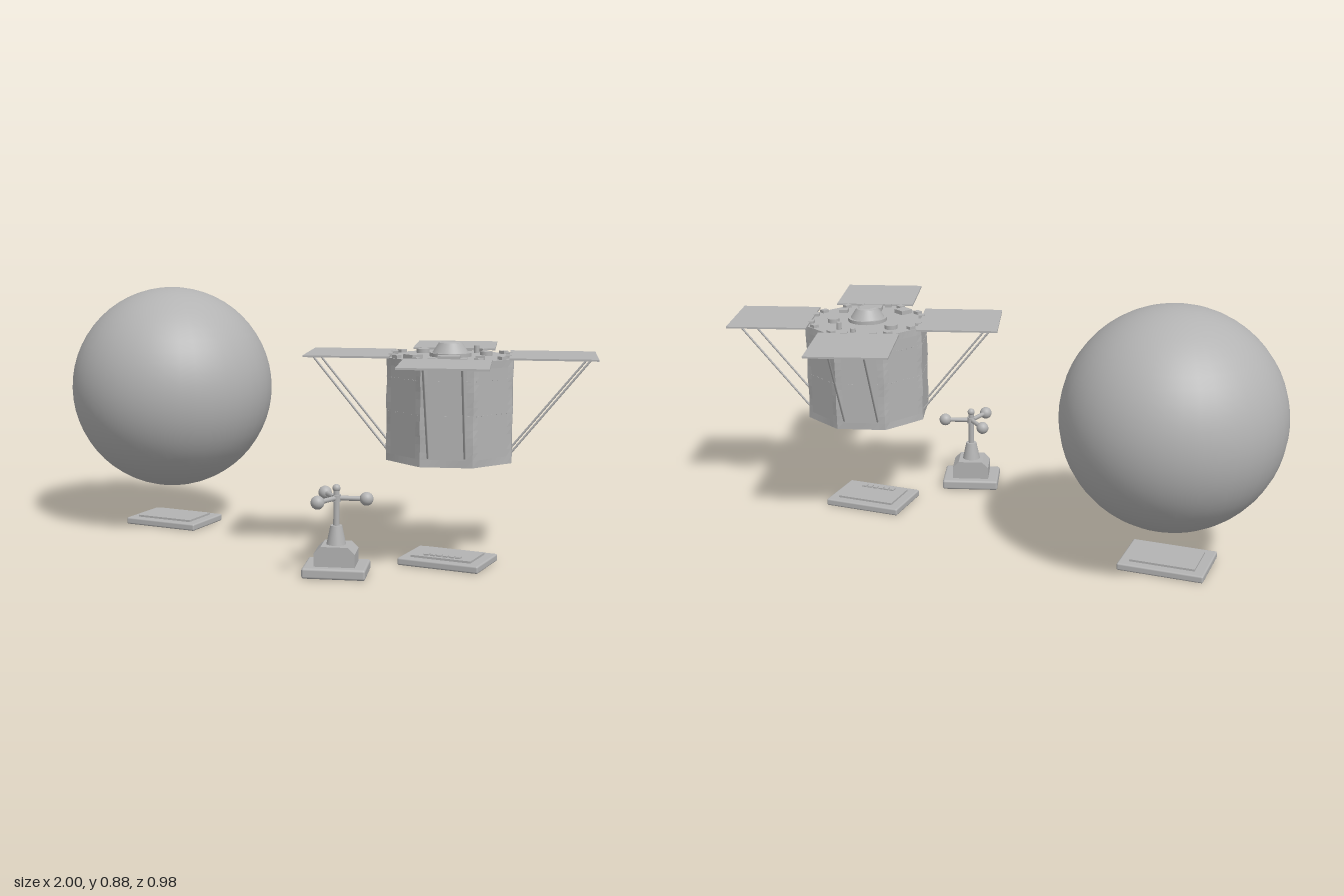
import * as THREE from 'three';
import { RoundedBoxGeometry } from 'three/addons/geometries/RoundedBoxGeometry.js';

const TURN = 0.302; // shared heading of the satellite and the wind gauge

export function createModel() {
  const root = new THREE.Group();
  root.name = 'spaceScene';
  const grey = new THREE.MeshStandardMaterial({ color: 0xb3b3b3 });
  grey.name = 'plainGrey';

  const add = (parent, name, geo, x = 0, y = 0, z = 0, ry = 0) => {
    const mesh = new THREE.Mesh(geo, grey);
    mesh.name = name;
    mesh.position.set(x, y, z);
    mesh.rotation.y = ry;
    parent.add(mesh);
    return mesh;
  };
  const group = (name, x, z, ry = 0) => {
    const g = new THREE.Group();
    g.name = name;
    g.position.set(x, 0, z);
    g.rotation.y = ry;
    root.add(g);
    return g;
  };
  const box = (w, h, d) => new THREE.BoxGeometry(w, h, d);
  const cyl = (rt, rb, h, n = 24) => new THREE.CylinderGeometry(rt, rb, h, n);
  const ball = (r) => new THREE.SphereGeometry(r, 20, 14);
  // round rod between two points
  const rod = (parent, name, a, b, r) => {
    const from = new THREE.Vector3(...a), to = new THREE.Vector3(...b);
    const dir = to.clone().sub(from);
    const mesh = add(parent, name, cyl(r, r, dir.length(), 10));
    mesh.position.copy(from).addScaledVector(dir, 0.5);
    mesh.quaternion.setFromUnitVectors(new THREE.Vector3(0, 1, 0), dir.normalize());
  };

  // large globe
  add(root, 'globe', new THREE.SphereGeometry(0.367, 40, 28), -0.635, 0.515, -0.13);

  // display plates: rounded base with a raised inset
  const plate = (name, x, z, w, d) => {
    const g = group(name, x, z);
    add(g, 'plateBase', new RoundedBoxGeometry(w, 0.025, d, 2, 0.006), 0, 0.0125, 0);
    add(g, 'plateInset', box(w - 0.07, 0.01, d - 0.06), 0, 0.027, 0);
    return g;
  };
  plate('globePlate', -0.635, -0.13, 0.29, 0.21);
  const satPlate = plate('satellitePlate', 0.51, 0.01, 0.28, 0.2);
  for (let i = 0; i < 6; i++) {
    add(satPlate, 'plateBar', box(0.016, 0.006, 0.02), -0.055 + i * 0.022, 0.034, 0.046);
  }

  // ---- satellite ----
  const sat = group('satellite', 0.508, 0, TURN);
  const R = 0.218, BOTTOM = 0.355, TOP = 0.69;
  const APOTHEM = R * Math.cos(Math.PI / 8);

  // octagonal foil-wrapped body, slightly creased along its corners and rims
  const N = 64, ROWS = 14;
  const pos = [], idx = [];
  for (let j = 0; j <= ROWS; j++) {
    for (let i = 0; i < N; i++) {
      const a = (i / N) * Math.PI * 2;
      const off = a - Math.round(a / (Math.PI / 4)) * (Math.PI / 4);
      const nearEdge = Math.abs(off) > 0.36 || j < 1 || j === ROWS;
      const crease = nearEdge ? 0.0015 * Math.sin(i * 12.9 + j * 7.3) : 0;
      const r = APOTHEM / Math.cos(off) + crease;
      pos.push(r * Math.cos(a), BOTTOM + (j / ROWS) * (TOP - BOTTOM), -r * Math.sin(a));
    }
  }
  for (let j = 0; j < ROWS; j++) {
    for (let i = 0; i < N; i++) {
      const a = j * N + i, b = j * N + ((i + 1) % N);
      idx.push(a, b, b + N, a, b + N, a + N);
    }
  }
  // end caps
  pos.push(0, BOTTOM, 0, 0, TOP, 0);
  const low = (ROWS + 1) * N, high = low + 1;
  for (let i = 0; i < N; i++) {
    const k = (i + 1) % N;
    idx.push(low, k, i, high, ROWS * N + i, ROWS * N + k);
  }
  let bodyGeo = new THREE.BufferGeometry();
  bodyGeo.setAttribute('position', new THREE.Float32BufferAttribute(pos, 3));
  bodyGeo.setIndex(idx);
  bodyGeo = bodyGeo.toNonIndexed();
  bodyGeo.computeVertexNormals();
  add(sat, 'foilBody', bodyGeo);

  // stitched seams on every face and rim clips on the deck
  for (let f = 0; f < 8; f++) {
    const face = new THREE.Group();
    face.name = 'bodyFace';
    face.rotation.y = (f * Math.PI) / 4;
    sat.add(face);
    for (const y of [0.518, 0.628]) {
      for (let k = -3; k <= 3; k++) {
        add(face, 'seamStitch', box(0.002, 0.003, 0.012), APOTHEM, y, k * 0.022);
      }
    }
    for (const s of [-1, 1]) add(face, 'rimClip', box(0.02, 0.012, 0.024), APOTHEM - 0.014, 0.694, s * 0.05);
  }

  // four solar panels, each held by two braces
  for (let k = 0; k < 4; k++) {
    const wing = new THREE.Group();
    wing.name = 'solarWing';
    wing.rotation.y = (k * Math.PI) / 2;
    sat.add(wing);
    add(wing, 'solarPanel', box(0.277, 0.006, 0.277), 0.329, 0.695, 0);
    for (const s of [-1, 1]) {
      rod(wing, 'panelBrace', [0.45, 0.693, s * 0.058], [0.2, 0.385, s * 0.058], 0.0035);
    }
  }

  // deck equipment
  const deck = group('deckEquipment', 0.508, 0);
  add(deck, 'antennaBase', cyl(0.068, 0.068, 0.012, 32), 0, 0.696, 0.005);
  add(deck, 'antennaCone', cyl(0.038, 0.06, 0.034, 32), 0, 0.717, 0.005);
  add(deck, 'antennaCap', cyl(0.026, 0.036, 0.004, 24), 0, 0.735, 0.005);
  add(deck, 'sensorDisc', cyl(0.022, 0.022, 0.014), -0.122, 0.697, -0.062);
  add(deck, 'sensorDisc', cyl(0.02, 0.02, 0.014), 0.1, 0.697, -0.06);
  add(deck, 'shortMast', cyl(0.009, 0.009, 0.028, 16), 0.04, 0.701, -0.135);
  add(deck, 'shortMast', cyl(0.01, 0.01, 0.016, 16), -0.02, 0.696, -0.15);
  add(deck, 'equipmentBox', box(0.07, 0.014, 0.045), 0.042, 0.697, 0.132, TURN);
  add(deck, 'equipmentBox', box(0.045, 0.014, 0.045), -0.078, 0.697, 0.135, TURN + 0.8);
  add(deck, 'equipmentBox', box(0.03, 0.012, 0.03), 0.125, 0.696, 0.07, TURN);

  // ---- wind gauge ----
  const gauge = group('windGauge', 0.24, 0.305, TURN);
  add(gauge, 'gaugeBase', new RoundedBoxGeometry(0.205, 0.035, 0.16, 2, 0.008), 0, 0.0175, 0);
  // housing with cut upper corners
  const w = 0.066, cut = 0.022;
  const outline = new THREE.Shape([
    [-w, 0.03], [w, 0.03], [w, 0.1 - cut], [w - cut, 0.1], [cut - w, 0.1], [-w, 0.1 - cut],
  ].map(([x, y]) => new THREE.Vector2(x, y)));
  const housing = new THREE.ExtrudeGeometry(outline, { depth: 0.105, bevelEnabled: false });
  add(gauge, 'gaugeHousing', housing, 0, 0, -0.0525);
  add(gauge, 'gaugeNeck', cyl(0.019, 0.032, 0.062), 0, 0.13, 0);
  add(gauge, 'gaugePole', cyl(0.01, 0.01, 0.12, 16), 0, 0.215, 0);
  add(gauge, 'poleHub', cyl(0.015, 0.015, 0.022, 16), 0, 0.25, 0);
  add(gauge, 'poleTip', ball(0.013), 0, 0.282, 0);
  for (let k = 0; k < 3; k++) {
    const a = (k * Math.PI * 2) / 3;
    const x = 0.097 * Math.cos(a), z = -0.097 * Math.sin(a);
    rod(gauge, 'gaugeArm', [0, 0.25, 0], [x, 0.25, z], 0.008);
    add(gauge, 'armBall', ball(0.022), x, 0.25, z);
  }

  return root;
}
